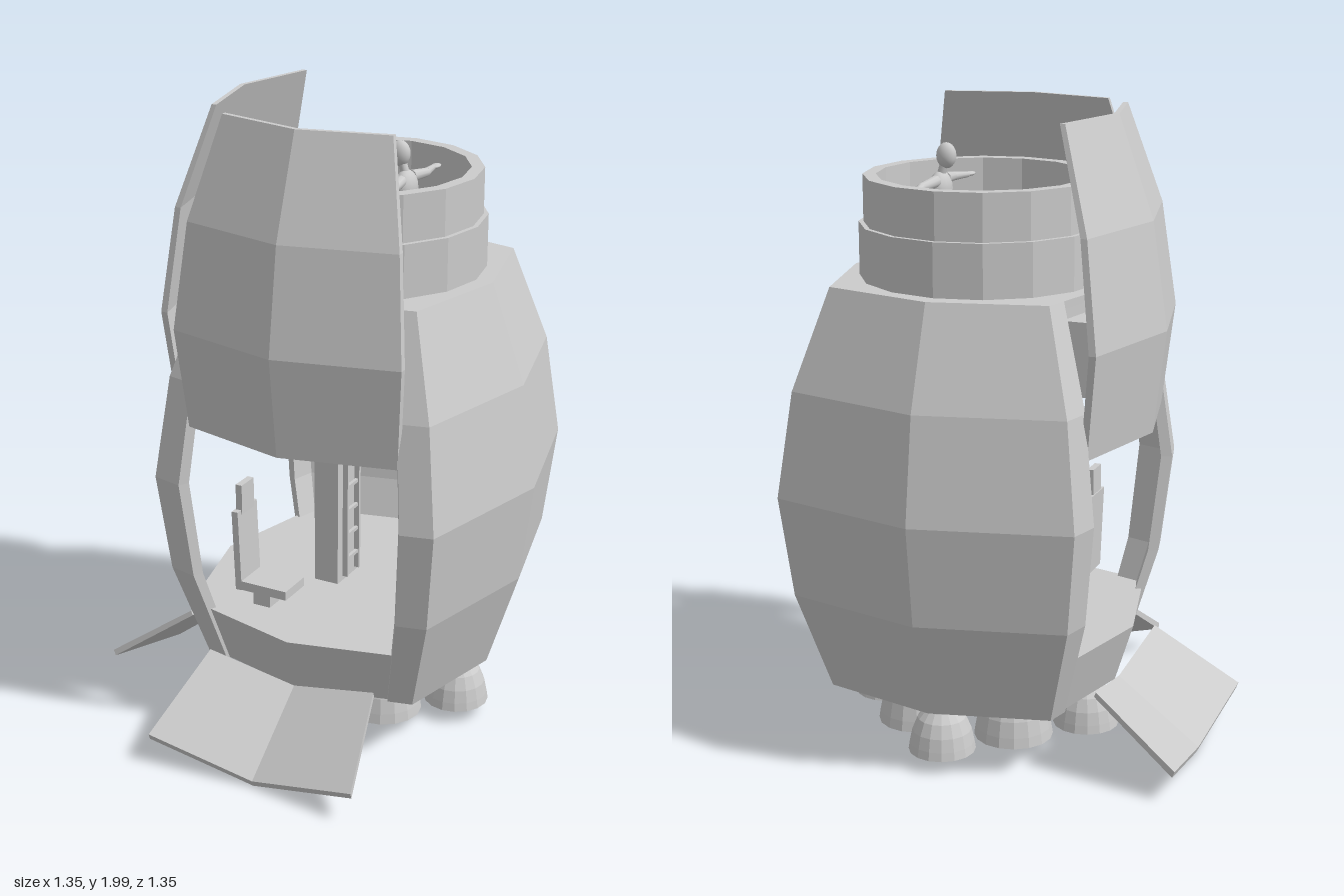
import * as THREE from 'three';

const grey = new THREE.MeshStandardMaterial({ color: 0xcccccc, flatShading: true, side: THREE.DoubleSide });
const smooth = new THREE.MeshStandardMaterial({ color: 0xcccccc });

// Hull profile: [height, scale of the widest section]
const LEVELS = [[0.21, 0.765], [0.53, 0.935], [0.85, 1], [1.18, 0.918], [1.49, 0.731]];
const AXIS = 0.595, CORNER = 0.48, EDGE = 0.38, EDGE_R = 0.504, WALL = 0.022;

function add(parent, name, geometry, x = 0, y = 0, z = 0, material = grey) {
  const mesh = new THREE.Mesh(geometry, material);
  mesh.name = name;
  mesh.position.set(x, y, z);
  parent.add(mesh);
  return mesh;
}

// Solid through scaled copies of one [x, z] outline
function loft(outline, levels) {
  const pos = [];
  const ring = levels.map(([y, s]) => outline.map(([x, z]) => [x * s, y, z * s]));
  const n = outline.length;
  for (let k = 0; k + 1 < ring.length; k++) {
    for (let i = 0; i < n; i++) {
      const j = (i + 1) % n;
      const a = ring[k][i], b = ring[k][j], c = ring[k + 1][j], d = ring[k + 1][i];
      pos.push(...a, ...d, ...b, ...b, ...d, ...c);
    }
  }
  const tris = THREE.ShapeUtils.triangulateShape(outline.map(p => new THREE.Vector2(...p)), []);
  for (const r of [ring[0], ring[ring.length - 1]]) {
    for (const t of tris) t.forEach(i => pos.push(...r[i]));
  }
  const g = new THREE.BufferGeometry();
  g.setAttribute('position', new THREE.Float32BufferAttribute(pos, 3));
  g.computeVertexNormals();
  return g;
}

// Eight-sided outline, bent at the middle of every side
function octagon(inset) {
  const a = AXIS - inset, c = CORNER - inset;
  return [[0, -a], [c, -c], [a, 0], [c, c], [0, a], [-c, c], [-a, 0], [-c, -c]];
}

// Panel outline between two corner posts, facing +z
const PANEL = [[EDGE, EDGE_R], [0, AXIS], [-EDGE, EDGE_R],
  [-EDGE, EDGE_R - WALL], [0, AXIS - WALL], [EDGE, EDGE_R - WALL]];
const POST = [[EDGE_R, EDGE], [CORNER, CORNER], [EDGE, EDGE_R],
  [0.362, 0.472], [0.447, 0.447], [0.472, 0.362]];

// Bell nozzle, open at the bottom
function nozzle(parent, name, x, z, r, h) {
  const pts = [[0, h + 0.03], [0.45, h + 0.03], [0.5, h], [0.72, h * 0.8], [0.88, h * 0.5], [0.96, h * 0.2],
    [1, 0], [0.93, 0], [0.82, h * 0.5], [0.6, h * 0.8], [0, h * 0.9]]
    .map(([q, y]) => new THREE.Vector2(q * r, y));
  add(parent, name, new THREE.LatheGeometry(pts, 16), x, 0.05, z);
}

// Tapered limb between two points
function limb(parent, name, a, b, ra, rb) {
  const A = new THREE.Vector3(...a), B = new THREE.Vector3(...b);
  const m = add(parent, name, new THREE.CylinderGeometry(rb, ra, A.distanceTo(B), 10), 0, 0, 0, smooth);
  m.position.copy(A).add(B).multiplyScalar(0.5);
  m.quaternion.setFromUnitVectors(new THREE.Vector3(0, 1, 0), B.clone().sub(A).normalize());
  add(parent, name + 'Joint', new THREE.SphereGeometry(rb, 10, 8), ...b, smooth);
}

function ball(parent, name, p, sx, sy, sz) {
  add(parent, name, new THREE.SphereGeometry(1, 14, 10), ...p, smooth).scale.set(sx, sy, sz);
}

// Standing figure facing -x with both arms spread
function figure() {
  const g = new THREE.Group();
  g.name = 'figure';
  ball(g, 'head', [-0.02, 0.448, 0], 0.032, 0.04, 0.026);
  limb(g, 'neck', [0, 0.38, 0], [-0.012, 0.42, 0], 0.014, 0.013);
  ball(g, 'chest', [0, 0.345, 0], 0.035, 0.055, 0.05);
  ball(g, 'waist', [0, 0.285, 0], 0.026, 0.05, 0.038);
  ball(g, 'hips', [0, 0.245, 0], 0.032, 0.035, 0.043);
  for (const s of [-1, 1]) {
    limb(g, 'upperArm', [0, 0.372, s * 0.035], [0.01, 0.365, s * 0.12], 0.019, 0.014);
    limb(g, 'forearm', [0.01, 0.365, s * 0.12], [-0.005, 0.36, s * 0.2], 0.014, 0.009);
    ball(g, 'hand', [-0.005, 0.36, s * 0.22], 0.015, 0.007, 0.026);
    limb(g, 'thigh', [0, 0.24, s * 0.025], [0, 0.13, s * 0.03], 0.025, 0.017);
    limb(g, 'shin', [0, 0.13, s * 0.03], [0.005, 0.02, s * 0.03], 0.017, 0.011);
    ball(g, 'foot', [-0.015, 0.011, s * 0.03], 0.03, 0.011, 0.014);
  }
  return g;
}

export function createModel() {
  const model = new THREE.Group();
  const ship = new THREE.Group();
  ship.name = 'lander';
  ship.position.set(0.085, 0, -0.09);
  model.add(ship);

  // Four sides: two closed, two with a raised door and a lowered ramp
  for (let k = 0; k < 4; k++) {
    const side = new THREE.Group();
    side.name = 'hullSide';
    side.rotation.y = k * Math.PI / 2;
    ship.add(side);
    add(side, 'cornerPost', loft(POST, LEVELS));
    if (k === 1 || k === 2) {
      add(side, 'hullPanel', loft(PANEL, LEVELS));
    } else {
      add(side, 'raisedDoor', loft(PANEL, LEVELS.slice(1)), 0, 0.51, 0);
      const hinge = new THREE.Group();
      hinge.name = 'rampHinge';
      hinge.position.set(0, 0.21, 0.455);
      hinge.rotation.x = THREE.MathUtils.degToRad(110);
      side.add(hinge);
      add(hinge, 'ramp', loft(PANEL, LEVELS.slice(0, 2)), 0, -0.21, -0.455);
    }
  }

  // Floor block and roof plate
  add(ship, 'floorBlock', loft(octagon(0.012), [[0.212, 0.766], [0.4, 0.866]]));
  const roof = new THREE.Shape(octagon(0).map(([x, z]) => new THREE.Vector2(x * 0.731, z * 0.731)));
  roof.holes.push(new THREE.Path().absarc(0, 0, 0.33, 0, Math.PI * 2, true));
  const flat = (shape, depth) => new THREE.ExtrudeGeometry(shape, { depth, bevelEnabled: false, curveSegments: 16 })
    .rotateX(Math.PI / 2);
  add(ship, 'roofPlate', flat(roof, 0.025), 0, 1.49, 0);

  // Turret ring with its sunken deck and hatch
  const ringPts = [[0.325, 1.38], [0.345, 1.38], [0.345, 1.485], [0.38, 1.485], [0.38, 1.655], [0.365, 1.655],
    [0.365, 1.8], [0.325, 1.8], [0.325, 1.38]].map(p => new THREE.Vector2(...p));
  add(ship, 'turretRing', new THREE.LatheGeometry(ringPts, 16));
  const deck = new THREE.Shape().absarc(0, 0, 0.328, 0, Math.PI * 2);
  deck.holes.push(new THREE.Path([[-0.045, -0.175], [-0.045, 0.17], [0.17, 0.17], [0.17, -0.175]]
    .map(p => new THREE.Vector2(...p))));
  add(ship, 'turretDeck', flat(deck, 0.02), 0, 1.4, 0);

  // Column with ladder up to the hatch
  add(ship, 'column', new THREE.BoxGeometry(0.085, 0.98, 0.16), -0.09, 0.89, 0);
  for (const z of [-0.03, 0.05]) add(ship, 'ladderRail', new THREE.BoxGeometry(0.018, 1.06, 0.009), -0.034, 0.95, z);
  for (let y = 0.48; y < 1.46; y += 0.085) {
    add(ship, 'ladderRung', new THREE.BoxGeometry(0.011, 0.011, 0.08), -0.034, y, 0.01);
  }

  // Chair
  const chair = new THREE.Group();
  chair.name = 'chair';
  chair.position.set(-0.27, 0.4, 0.3);
  ship.add(chair);
  add(chair, 'seat', new THREE.BoxGeometry(0.18, 0.03, 0.12), 0.095, 0.072, 0);
  add(chair, 'pedestal', new THREE.BoxGeometry(0.06, 0.06, 0.06), 0.08, 0.03, 0);
  add(chair, 'backrest', new THREE.BoxGeometry(0.022, 0.27, 0.12), 0.008, 0.19, 0).rotation.z = 0.04;
  add(chair, 'headrest', new THREE.BoxGeometry(0.022, 0.1, 0.075), 0.006, 0.36, 0);

  // Overhead locker by the side door
  add(ship, 'overheadLocker', new THREE.BoxGeometry(0.16, 0.23, 0.2), -0.375, 1.285, -0.05);

  // Eight engine nozzles
  for (let i = 0; i < 4; i++) {
    const a = i * Math.PI / 2, d = a + Math.PI / 4;
    nozzle(ship, 'smallNozzle', Math.cos(a) * 0.35, Math.sin(a) * 0.35, 0.105, 0.135);
    nozzle(ship, 'largeNozzle', Math.cos(d) * 0.235, Math.sin(d) * 0.235, 0.125, 0.165);
  }

  const pilot = figure();
  pilot.position.set(0.14, 1.4, 0);
  ship.add(pilot);
  return model;
}
